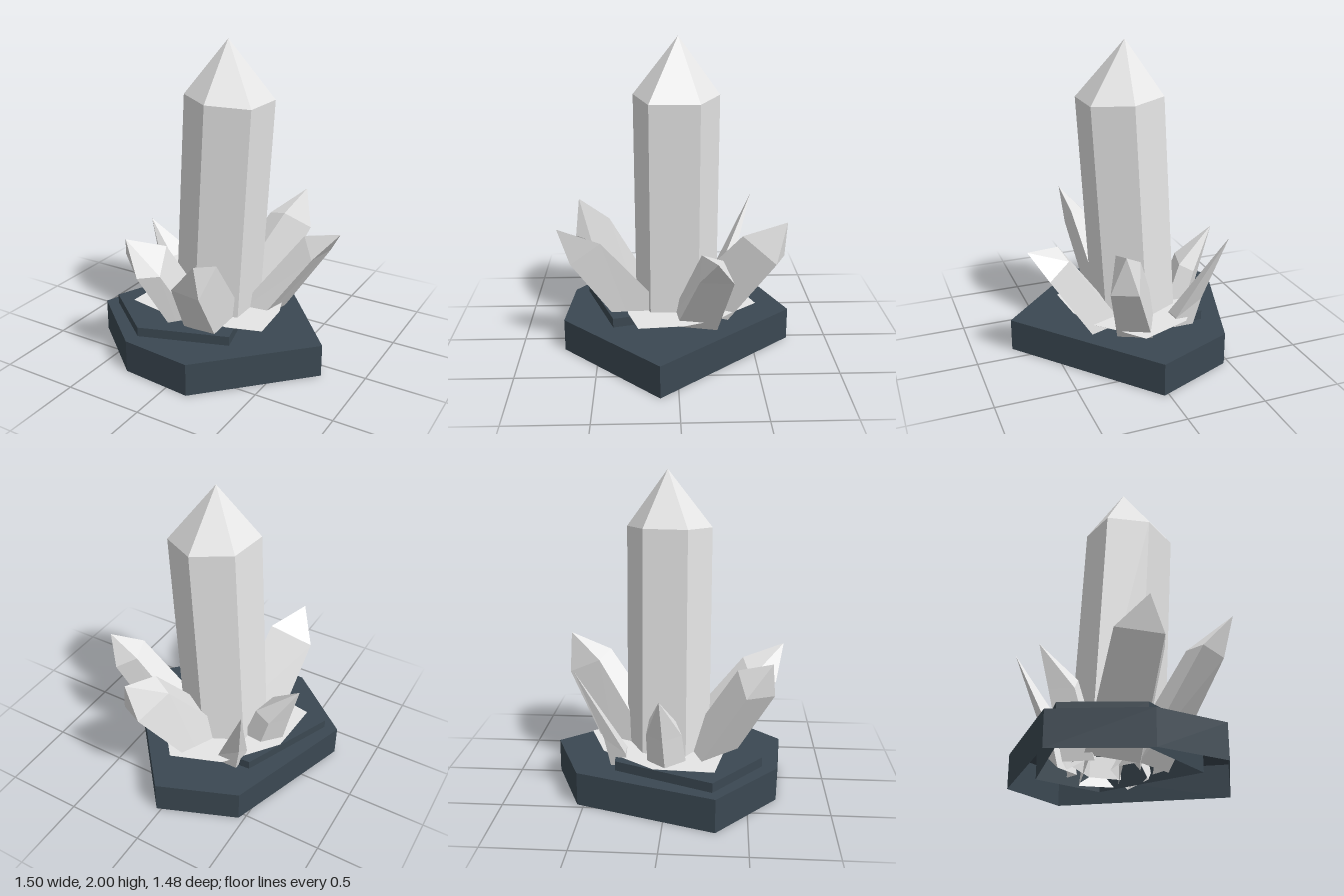
import * as THREE from 'three';

const stone = new THREE.MeshStandardMaterial({ color: 0x3b4852, side: THREE.DoubleSide, flatShading: true });
stone.name = 'dark slate';
const quartz = new THREE.MeshStandardMaterial({ color: 0xe6e6e6, side: THREE.DoubleSide, flatShading: true });
quartz.name = 'pale quartz';

// Shell open underneath: walls from foot to ring, then a fan to the apex.
// Both loops run clockwise seen from above.
function shell(name, foot, ring, apex, material) {
  const v = [];
  ring.forEach((top, i) => {
    const j = (i + 1) % ring.length;
    v.push(...apex, ...ring[j], ...top);
    v.push(...foot[j], ...foot[i], ...top);
    v.push(...foot[j], ...top, ...ring[j]);
  });
  const g = new THREE.BufferGeometry();
  g.setAttribute('position', new THREE.Float32BufferAttribute(v, 3));
  g.computeVertexNormals();
  const mesh = new THREE.Mesh(g, material);
  mesh.name = name;
  return mesh;
}

const mean = (points, k) => points.reduce((s, p) => s + p[k], 0) / points.length;

// Flat slab over an outline of [x, z] points
function slab(name, outline, bottom, top, material) {
  const at = y => outline.map(([x, z]) => [x, y, z]);
  return shell(name, at(bottom), at(top), [mean(outline, 0), top, mean(outline, 1)], material);
}

// Faceted crystal: a shoulder ring, its scaled copy at the root, and a tip
function crystal({ name, root, ring, tip, flare }) {
  const centre = [0, 1, 2].map(k => mean(ring, k));
  const foot = ring.map(p => {
    const [x, y, z] = p.map((c, k) => root[k] + (c - centre[k]) * flare);
    return [x, Math.max(y, 0.03), z];
  });
  return shell(name, foot, ring, tip, quartz);
}

const crystals = [
  { name: 'mainCrystal', root: [-0.07, 0.08, -0.005], tip: [0.008, 2, -0.015], flare: 1,
    ring: [[0.04, 1.65, -0.27], [0.268, 1.635, -0.14], [0.268, 1.635, 0.165],
      [0.005, 1.65, 0.26], [-0.225, 1.665, 0.12], [-0.195, 1.665, -0.15]] },
  { name: 'frontRightCrystal', root: [-0.14, 0.08, 0.16], tip: [-0.31, 0.88, 0.64], flare: 1.1,
    ring: [[-0.165, 0.79, 0.43], [-0.135, 0.64, 0.55], [-0.225, 0.65, 0.66], [-0.44, 0.70, 0.48]] },
  { name: 'frontLeftCrystal', root: [0.02, 0.08, 0.14], tip: [0.225, 0.86, 0.735], flare: 1.35,
    ring: [[0.05, 0.67, 0.52], [0.215, 0.76, 0.47], [0.21, 0.62, 0.66], [0.035, 0.65, 0.68]] },
  { name: 'leftCrystal', root: [0.1, 0.06, -0.07], tip: [0.70, 0.815, -0.22], flare: 1.4,
    ring: [[0.55, 0.64, -0.125], [0.49, 0.79, -0.14], [0.46, 0.74, -0.27], [0.595, 0.65, -0.325]] },
  { name: 'backCrystal', root: [-0.06, 0.07, -0.12], tip: [0.25, 0.90, -0.68], flare: 1.45,
    ring: [[0.215, 0.80, -0.41], [0.08, 0.76, -0.47], [0.17, 0.65, -0.68], [0.32, 0.65, -0.61]] },
  { name: 'backRightSpike', root: [-0.25, 0.1, -0.28], tip: [-0.465, 0.86, -0.535], flare: 0.9,
    ring: [[-0.21, 0.28, -0.36], [-0.2, 0.28, -0.26], [-0.36, 0.3, -0.25], [-0.37, 0.4, -0.38]] },
  { name: 'rightCrystal', root: [-0.31, 0.08, 0.01], tip: [-0.6, 0.73, -0.025], flare: 1.2,
    ring: [[-0.44, 0.46, -0.115], [-0.34, 0.52, -0.105], [-0.38, 0.53, 0.06],
      [-0.43, 0.46, 0.1], [-0.535, 0.46, -0.01]] },
];

export function createModel() {
  const model = new THREE.Group();
  model.name = 'crystalCluster';

  // Stepped rock base
  model.add(slab('rockBase', [[0.03, -0.74], [0.75, 0.11], [0.15, 0.72],
    [-0.315, 0.68], [-0.755, 0.31], [-0.465, -0.54]], 0, 0.21, stone));
  model.add(slab('rockStep', [[0.26, 0.4], [-0.29, 0.59], [-0.67, 0.29],
    [-0.41, -0.31], [0.07, -0.34]], 0.02, 0.27, stone));

  // Thin quartz sheet around the crystal roots
  model.add(slab('quartzSheet', [[-0.53, 0.3], [-0.51, -0.07], [-0.26, -0.4], [0.06, -0.52],
    [0.19, -0.36], [0.3, -0.25], [0.375, -0.05], [0.4, 0.24], [0.18, 0.31],
    [0, 0.3], [-0.25, 0.35]], 0.271, 0.272, quartz));

  crystals.forEach(c => model.add(crystal(c)));
  return model;
}
